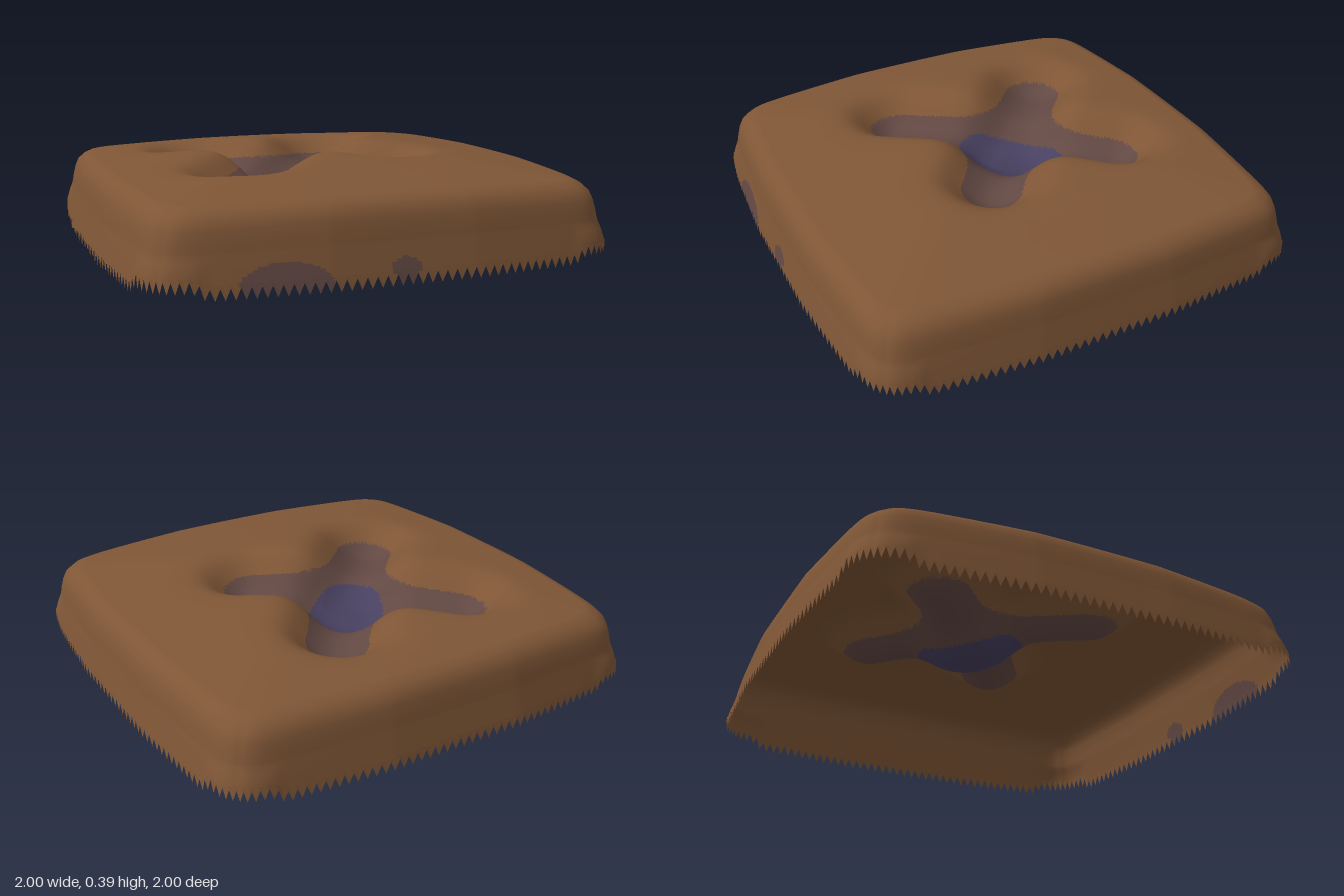
import * as THREE from 'three';

const PER_SIDE = 100, SEGMENTS = PER_SIDE * 4, TOP_RINGS = 64, TOP_EDGE = 0.89;
const { smoothstep, clamp } = THREE.MathUtils;

// Cross-shaped hollow: four arms leaving one centre
const CENTRE = [-0.05, -0.12];
const ARM_ENDS = [[-0.41, -0.43], [0.22, -0.47], [-0.40, 0.27], [0.27, 0.14]];

function segmentDistance(x, z, [ax, az], [bx, bz]) {
  const dx = bx - ax, dz = bz - az;
  const t = clamp(((x - ax) * dx + (z - az) * dz) / (dx * dx + dz * dz), 0, 1);
  return Math.hypot(x - ax - t * dx, z - az - t * dz);
}

function armField(x, z) {
  return ARM_ENDS.reduce((sum, end) => sum + Math.exp(-((segmentDistance(x, z, CENTRE, end) / 0.155) ** 2.3)), 0);
}

const inEllipse = (u, v, ru, rv) => (u / ru) ** 2 + (v / rv) ** 2 < 1;

// Square outline with tapering sides and tight corners
function outline(k) {
  const side = Math.floor(k / PER_SIDE) % 4;
  const t = ((k % PER_SIDE) / PER_SIDE) * 2 - 1;
  const taper = 1 - 0.055 * Math.max(0, (Math.abs(t) - 0.3) / 0.7);
  const r = taper * (1 + Math.abs(t) ** 16) ** (-1 / 16);
  const [x, z] = [[1, t], [-t, 1], [-1, -t], [t, -1]][side];
  return [x * r, z * r];
}

// Rings from the middle of the top, over the shoulder and down the side
function ringProfile() {
  const rings = [];
  for (let i = 0; i <= TOP_RINGS; i++) {
    const s = (TOP_EDGE * i) / TOP_RINGS;
    rings.push([s, 0.33 + 0.11 * (1 - s / TOP_EDGE)]);
  }
  rings.push([0.92, 0.315], [0.945, 0.29], [0.958, 0.255], [0.967, 0.21]);
  for (let i = 0; i <= 12; i++) rings.push([0.972 + 0.002 * i, 0.175 - 0.01 * i]);
  return rings;
}

// 0 = crust, 1 = hollow, 2 = hollow centre
function colourIndex(x, y, z) {
  if (Math.max(Math.abs(x), Math.abs(z)) < 0.7) {
    const dx = x - CENTRE[0], dz = z - CENTRE[1];
    if (inEllipse((dx - dz) * Math.SQRT1_2, (dx + dz) * Math.SQRT1_2, 0.235, 0.157)) return 2;
    return armField(x, z) > 0.53 ? 1 : 0;
  }
  const stained = z > 0.9 && (inEllipse(x + 0.46, y - 0.05, 0.17, 0.075) || inEllipse(x, y - 0.07, 0.06, 0.042));
  return stained ? 1 : 0;
}

function buildShell() {
  const profile = ringProfile();
  const positions = [];
  const rows = profile.length + 1;

  for (let j = 0; j < rows; j++) {
    const teeth = j === profile.length;
    const [s, baseY] = teeth ? [1, 0] : profile[j];
    for (let k = 0; k < SEGMENTS; k++) {
      const [ox, oz] = outline(k);
      const x = ox * s, z = oz * s;
      const corner = smoothstep(Math.min(Math.abs(ox), Math.abs(oz)), 0.73, 0.8);
      let y = baseY;
      if (teeth) {
        // Saw-tooth rim, shorter at the corners
        y = (k % 2 ? 0.006 : 0.05) + 0.03 * corner;
      } else {
        // Corners droop at the top and lift at the rim
        y -= 0.035 * x * x * z * z * smoothstep(baseY, 0.1, 0.3);
        y += 0.03 * corner * (1 - smoothstep(baseY, 0.055, 0.175));
        if (j <= TOP_RINGS) y -= 0.27 * (1 - Math.exp(-0.85 * armField(x, z)));
      }
      positions.push(x, y, z);
    }
  }

  // Sort faces by colour while sharing vertices, so shading stays smooth
  const faces = [[], [], []];
  const addFace = (...ids) => {
    const c = [0, 1, 2].map((axis) => ids.reduce((sum, id) => sum + positions[id * 3 + axis], 0) / 3);
    faces[colourIndex(...c)].push(...ids);
  };
  for (let j = 0; j < rows - 1; j++) {
    for (let k = 0; k < SEGMENTS; k++) {
      const n = (k + 1) % SEGMENTS;
      const a = j * SEGMENTS + k, b = j * SEGMENTS + n;
      const c = a + SEGMENTS, d = b + SEGMENTS;
      if (j > 0) addFace(a, b, c);
      addFace(b, d, c);
    }
  }

  const geometry = new THREE.BufferGeometry();
  geometry.setAttribute('position', new THREE.Float32BufferAttribute(positions, 3));
  geometry.setIndex(faces.flat());
  let start = 0;
  faces.forEach((list, i) => {
    geometry.addGroup(start, list.length, i);
    start += list.length;
  });
  geometry.computeVertexNormals();
  return geometry;
}

export function createModel() {
  const material = (name, color) => {
    const m = new THREE.MeshStandardMaterial({ color, side: THREE.DoubleSide });
    m.name = name;
    return m;
  };
  const materials = [
    material('earthBrown', 0x7f5636),
    material('dullPurpleBrown', 0x624843),
    material('mutedViolet', 0x474060),
  ];
  const group = new THREE.Group();
  group.name = 'moundWithCrossHollow';
  const shell = new THREE.Mesh(buildShell(), materials);
  shell.name = 'moundShell';
  group.add(shell);
  return group;
}
